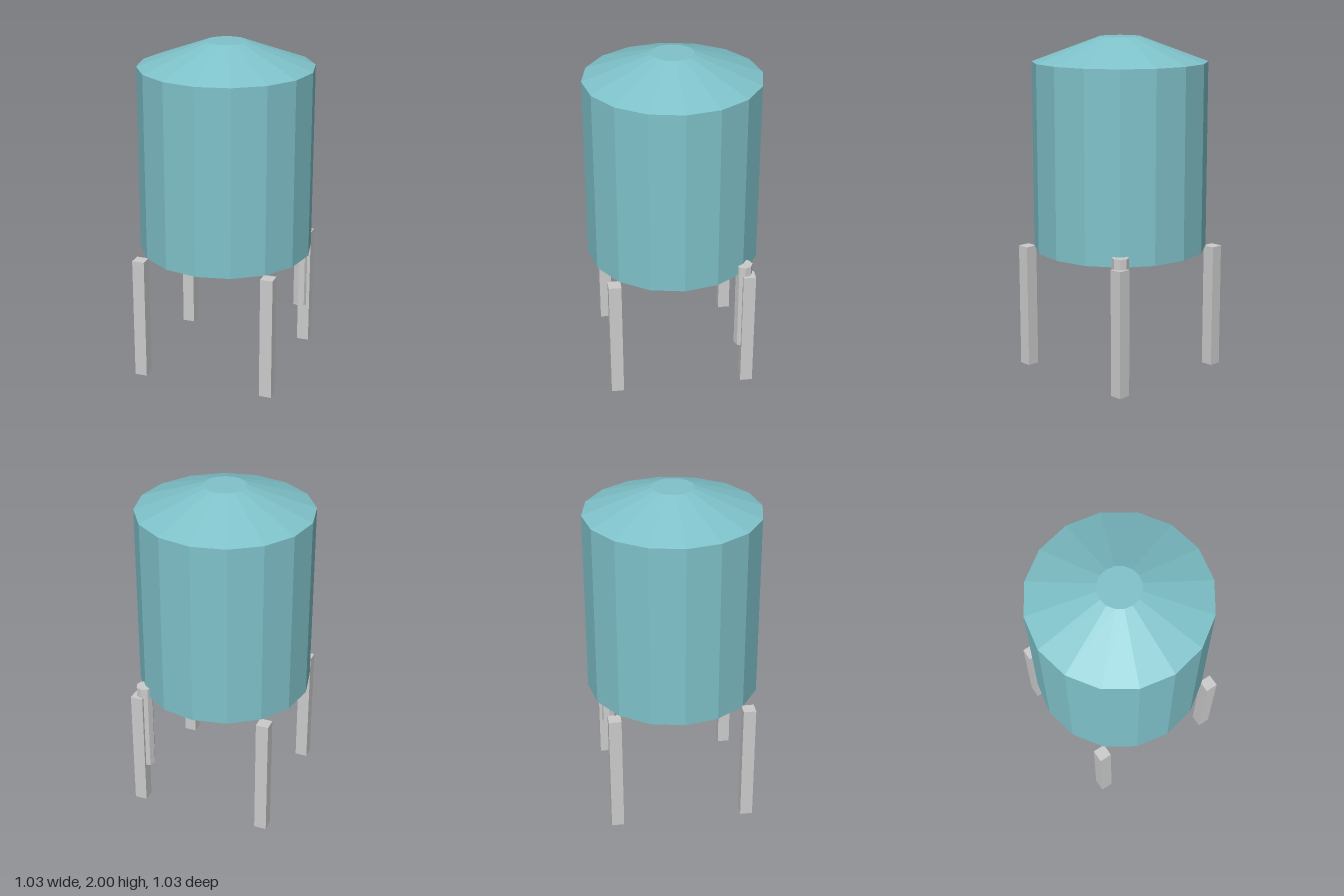
import * as THREE from 'three';

const TEAL = new THREE.MeshStandardMaterial({ color: 0x7fc2ca, flatShading: true });
const GREY = new THREE.MeshStandardMaterial({ color: 0xcccccc, flatShading: true });

export function createModel() {
  const group = new THREE.Group();

  const add = (name, geometry, material, x, y, z) => {
    const mesh = new THREE.Mesh(geometry, material);
    mesh.name = name;
    mesh.position.set(x, y, z);
    group.add(mesh);
  };
  // Faceted cylinder or cone between two heights
  const addRound = (name, material, rTop, rBottom, y0, y1, sides, x = 0, z = 0) =>
    add(name, new THREE.CylinderGeometry(rTop, rBottom, y1 - y0, sides), material, x, (y0 + y1) / 2, z);

  // Sixteen-sided tank with a shallow conical roof
  const tankBase = 0.745, tankTop = 1.855, tankRadius = 0.517;
  addRound('tank', TEAL, tankRadius, tankRadius, tankBase, tankTop, 16);
  addRound('roof', TEAL, 0.123, tankRadius, tankTop, 2, 16);

  // Square legs at the four corners
  const legWidth = 0.074, legOffset = 0.395;
  for (const [side, sx] of [['Left', 1], ['Right', -1]]) {
    for (const [end, sz] of [['front', 1], ['back', -1]]) {
      add(`${end}${side}Leg`, new THREE.BoxGeometry(legWidth, tankBase, legWidth), GREY,
        sx * legOffset, tankBase / 2, sz * legOffset);
    }
  }

  // Octagonal drain pipe against the back left leg
  addRound('drainPipe', GREY, 0.049, 0.049, 0.25, 0.805, 8, 0.369, -0.371);

  return group;
}
